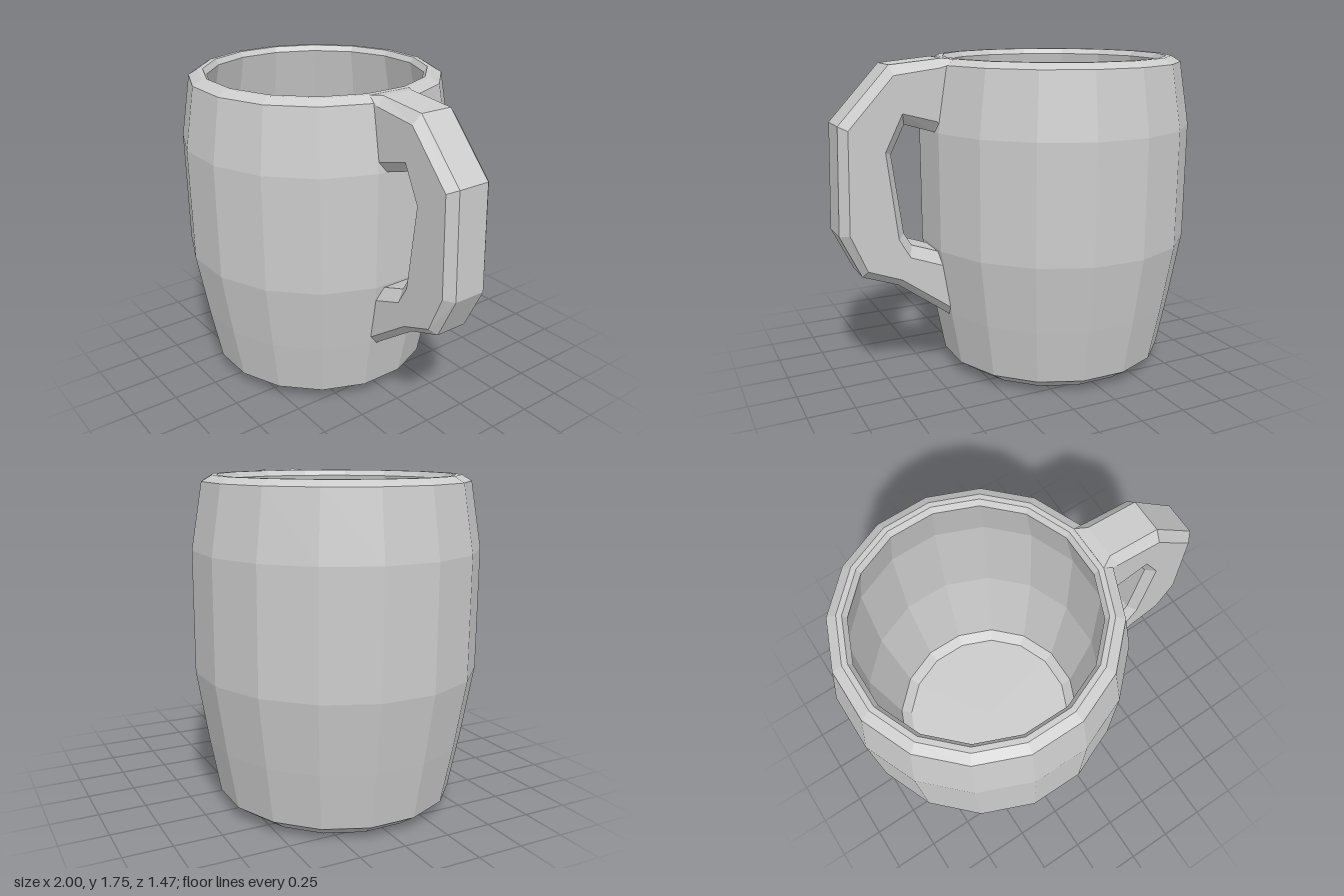
import * as THREE from 'three';

const SIDES = 16;
const material = new THREE.MeshStandardMaterial({ color: 0xcccccc, flatShading: true });

// Hollow faceted barrel: outer wall, rim, bulging inner wall and floor; radii measured to the flats.
function createBody() {
  const profile = [
    [0, 0], [0.525, 0], [0.622, 0.07], [0.678, 0.37], [0.738, 0.74], [0.738, 1.37], [0.682, 1.71], [0.632, 1.74],
    [0.605, 1.74], [0.585, 1.71], [0.655, 1.37], [0.655, 0.74], [0.555, 0.14], [0.5, 0.09], [0, 0.09],
  ].map(([r, y]) => new THREE.Vector2(r / Math.cos(Math.PI / SIDES), y));
  const geometry = new THREE.LatheGeometry(profile, SIDES, Math.PI / SIDES);
  geometry.scale(1, 1, 0.993); // very slightly oval
  const body = new THREE.Mesh(geometry, material);
  body.name = 'barrelBody';
  body.position.x = -0.262;
  return body;
}

// Bevelled handle: eight-cornered cross-sections swept from the rim to the lower wall.
function createHandle() {
  // Each row: outer ridge, outer face edge, inner face edge, inner ridge (x, y pairs), ridge half width
  const sections = [
    [0.37, 1.739, 0.42, 1.708, 0.40, 1.41, 0.40, 1.35, 0.125],
    [0.43, 1.745, 0.45, 1.70, 0.48, 1.43, 0.48, 1.37, 0.09],
    [0.71, 1.72, 0.70, 1.67, 0.66, 1.48, 0.64, 1.42, 0.09],
    [0.98, 1.43, 0.94, 1.41, 0.755, 1.29, 0.715, 1.27, 0.09],
    [1.0, 0.87, 0.955, 0.88, 0.70, 0.83, 0.66, 0.85, 0.09],
    [0.89, 0.64, 0.87, 0.68, 0.64, 0.725, 0.62, 0.78, 0.09],
    [0.70, 0.57, 0.69, 0.61, 0.56, 0.695, 0.55, 0.755, 0.09],
    [0.43, 0.37, 0.43, 0.42, 0.43, 0.645, 0.43, 0.71, 0.09],
    [0.39, 0.34, 0.39, 0.40, 0.40, 0.63, 0.40, 0.70, 0.09],
  ];
  const face = 0.136;
  const positions = [];
  const index = [];
  const n = 8;
  sections.forEach((s, i) => {
    const ridge = s[8];
    const corners = [[0, ridge], [1, face], [2, face], [3, ridge], [3, -ridge], [2, -face], [1, -face], [0, -ridge]];
    for (const [k, z] of corners) positions.push(s[2 * k], s[2 * k + 1], z);
    if (i === sections.length - 1) return;
    for (let j = 0; j < n; j++) {
      const a = i * n + j, b = i * n + (j + 1) % n;
      index.push(a, b, b + n, a, b + n, a + n);
    }
  });
  const geometry = new THREE.BufferGeometry();
  geometry.setAttribute('position', new THREE.Float32BufferAttribute(positions, 3));
  geometry.setIndex(index);
  const flat = geometry.toNonIndexed();
  flat.computeVertexNormals();
  const handle = new THREE.Mesh(flat, material);
  handle.name = 'handle';
  return handle;
}

export function createModel() {
  const mug = new THREE.Group();
  mug.name = 'mug';
  mug.add(createBody(), createHandle());
  return mug;
}
